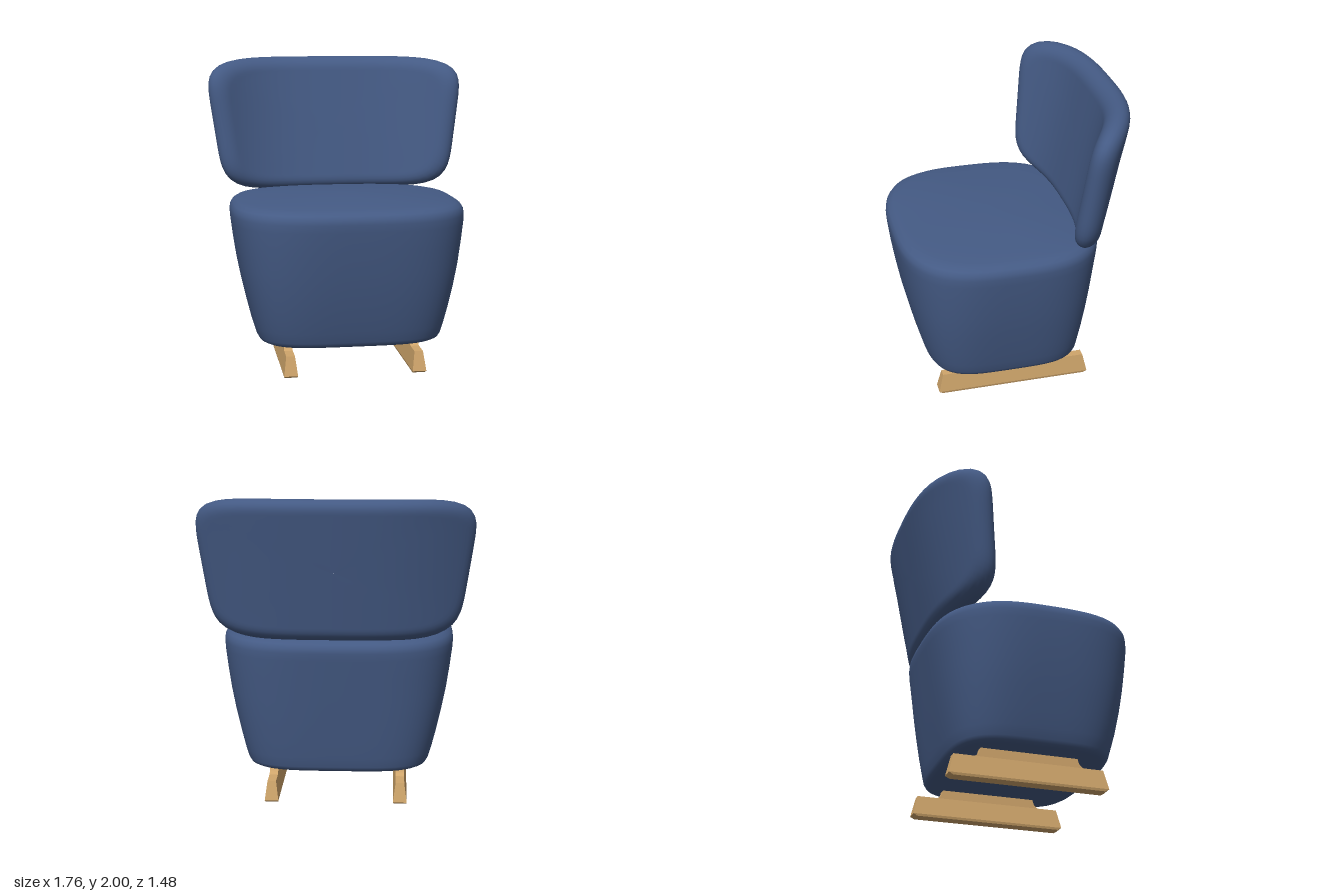
import * as THREE from 'three';

const SEG = 96;

// Point on a unit rounded square: n = 2 is a circle, higher n is squarer.
function roundedSquare(angle, n) {
  const c = Math.cos(angle), s = Math.sin(angle);
  const r = Math.pow(Math.abs(c) ** n + Math.abs(s) ** n, -1 / n);
  return [c * r, s * r];
}

// Smooth skin over closed rings; pointAt(ring, angle) returns [x, y, z].
function skin(rings, pointAt) {
  const pos = [], idx = [];
  rings.forEach((ring, i) => {
    for (let j = 0; j < SEG; j++) {
      pos.push(...pointAt(ring, (j / SEG) * Math.PI * 2));
      if (i === rings.length - 1) continue;
      const a = i * SEG + j, b = i * SEG + ((j + 1) % SEG);
      idx.push(a, a + SEG, b, b, a + SEG, b + SEG);
    }
  });
  const geo = new THREE.BufferGeometry();
  geo.setAttribute('position', new THREE.Float32BufferAttribute(pos, 3));
  geo.setIndex(idx);
  geo.computeVertexNormals();
  return geo;
}

// Upholstered seat block, widening upward to a domed top.
function seatGeometry() {
  // height, half width, front z, back z, squareness
  const rings = [
    [0.197, 0.001, 0.081, 0.079, 4], [0.197, 0.3, 0.3, -0.16, 4], [0.197, 0.55, 0.53, -0.39, 4],
    [0.2, 0.575, 0.555, -0.42, 4], [0.212, 0.597, 0.575, -0.44, 4], [0.235, 0.61, 0.588, -0.452, 4],
    [0.3, 0.63, 0.607, -0.465, 3.9], [0.4, 0.655, 0.635, -0.483, 3.8], [0.55, 0.69, 0.67, -0.508, 3.6],
    [0.7, 0.72, 0.699, -0.532, 3.4], [0.85, 0.743, 0.724, -0.556, 3.2], [0.97, 0.758, 0.74, -0.575, 3.1],
    [1.02, 0.762, 0.745, -0.583, 3], [1.05, 0.758, 0.741, -0.58, 3], [1.075, 0.743, 0.725, -0.565, 3],
    [1.092, 0.715, 0.695, -0.54, 3], [1.102, 0.67, 0.645, -0.5, 3], [1.113, 0.57, 0.55, -0.41, 2.9],
    [1.127, 0.4, 0.41, -0.25, 2.7], [1.136, 0.2, 0.24, -0.06, 2.4], [1.139, 0.001, 0.081, 0.079, 2],
  ];
  return skin(rings, ([y, half, front, back, n], angle) => {
    const [u, v] = roundedSquare(angle, n);
    const mid = 0.08;
    return [half * u - 0.007, y, mid + v * (v > 0 ? front - mid : mid - back)];
  });
}

// Padded backrest: a rounded panel, leaned back and wrapped forward at the sides.
function backrestGeometry() {
  const r = 0.08, rings = [];   // rings: scale, inset from the outline, depth
  const face = [0.001, 0.15, 0.3, 0.45, 0.6, 0.75, 0.88, 0.96];
  face.forEach(k => rings.push([k, r, r]));
  for (let i = 0; i <= 12; i++) {
    const a = (i / 12) * Math.PI;
    rings.push([1, r * (1 - Math.sin(a)), r * Math.cos(a)]);
  }
  [...face].reverse().forEach(k => rings.push([k, r, -r]));
  return skin(rings, ([k, inset, depth], angle) => {
    const [u, v] = roundedSquare(angle, 6);
    const y = 1.544 + k * v * (0.456 - inset);
    const half = 0.785 + 0.14 * (y - 1.2) - inset;
    const x = k * u * half;
    const q = x / 0.83;
    const slope = 0.83 * q * q * Math.sign(x);
    const len = Math.hypot(1, slope);
    const z = -0.495 - 0.21 * (y - 1.15) + 0.23 * Math.abs(q) ** 3;
    return [x - (depth * slope) / len, y, z + depth / len];
  });
}

// Box with different footprints below and above: [half width, front z, back z].
function taperedBox(y0, y1, low, high) {
  const geo = new THREE.BoxGeometry(2, 1, 2);
  const p = geo.attributes.position;
  for (let i = 0; i < p.count; i++) {
    const top = p.getY(i) > 0;
    const [half, front, back] = top ? high : low;
    p.setXYZ(i, Math.sign(p.getX(i)) * half, top ? y1 : y0, p.getZ(i) > 0 ? front : back);
  }
  const flat = geo.toNonIndexed();
  flat.computeVertexNormals();
  return flat;
}

// Upper block of a runner, flaring with a hollow curve where it meets the rail.
function neckGeometry() {
  const s = new THREE.Shape();
  s.moveTo(0.385, 0.138);
  s.quadraticCurveTo(0.345, 0.15, 0.34, 0.205);
  s.lineTo(0.34, 0.23);
  s.lineTo(-0.29, 0.23);
  s.lineTo(-0.29, 0.205);
  s.quadraticCurveTo(-0.295, 0.15, -0.335, 0.138);
  s.closePath();
  const geo = new THREE.ExtrudeGeometry(s, { depth: 0.056, bevelEnabled: false, curveSegments: 10 });
  geo.translate(0, 0, -0.028);
  geo.rotateY(-Math.PI / 2);
  return geo;
}

export function createModel() {
  const fabric = new THREE.MeshStandardMaterial({ color: 0x445a84 });
  fabric.name = 'blue fabric';
  const wood = new THREE.MeshStandardMaterial({ color: 0xcfa56b });
  wood.name = 'light wood';

  const model = new THREE.Group();
  model.name = 'chair';
  const add = (parent, name, geo, mat) => {
    const mesh = new THREE.Mesh(geo, mat);
    mesh.name = name;
    parent.add(mesh);
  };

  add(model, 'seat', seatGeometry(), fabric);
  add(model, 'backrest', backrestGeometry(), fabric);

  // Pair of wooden runners
  const foot = taperedBox(0, 0.015, [0.041, 0.515, -0.465], [0.045, 0.54, -0.492]);
  const rail = taperedBox(0.015, 0.14, [0.045, 0.54, -0.492], [0.028, 0.51, -0.463]);
  const neck = neckGeometry();
  for (const side of [1, -1]) {
    const runner = new THREE.Group();
    runner.name = side > 0 ? 'leftRunner' : 'rightRunner';
    runner.position.x = side * 0.418 - 0.004;
    add(runner, 'runnerFoot', foot, wood);
    add(runner, 'runnerRail', rail, wood);
    add(runner, 'runnerNeck', neck, wood);
    model.add(runner);
  }
  return model;
}
